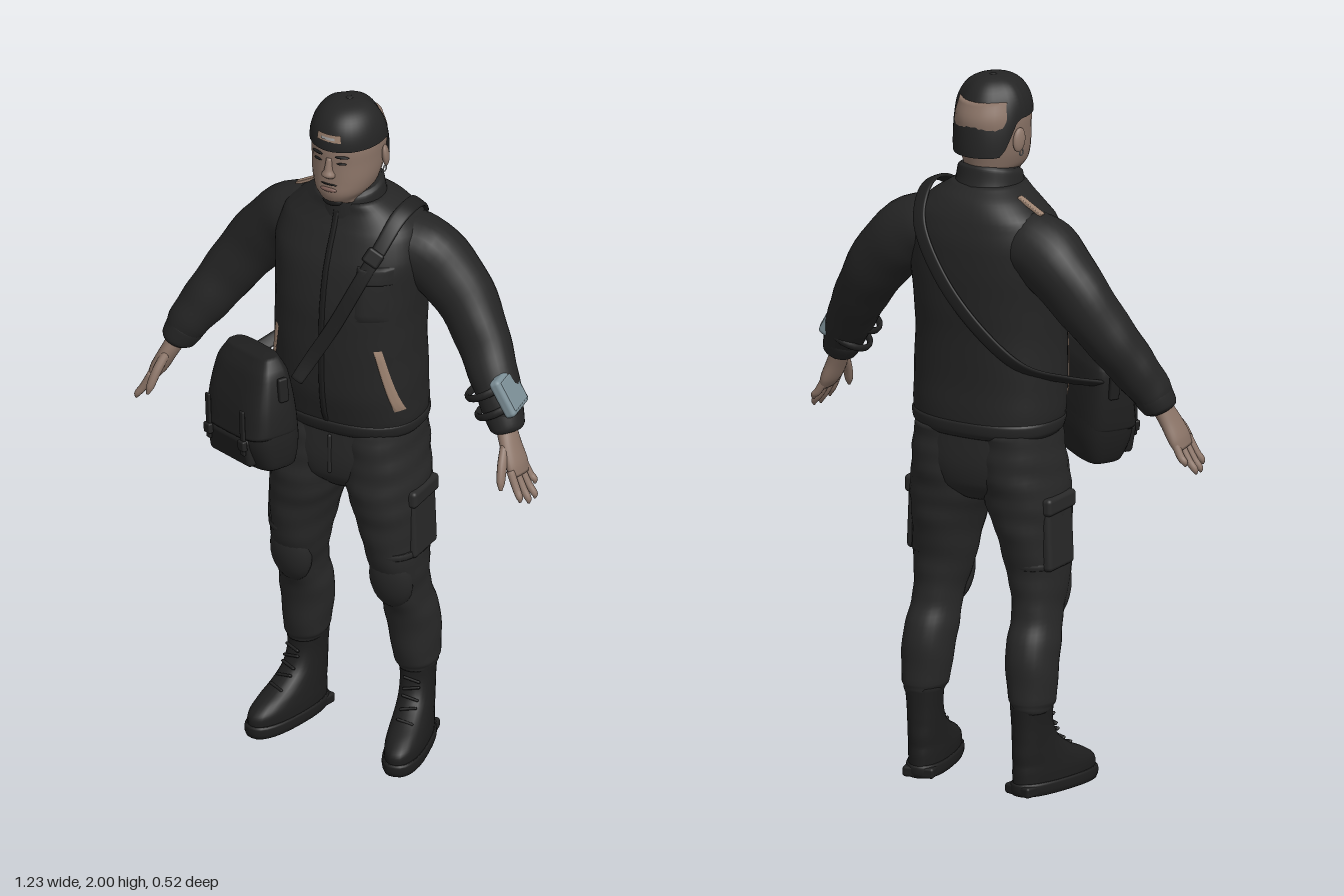
import * as THREE from 'three';
import { RoundedBoxGeometry } from 'three/addons/geometries/RoundedBoxGeometry.js';

const mat = (name, color) => Object.assign(new THREE.MeshStandardMaterial({ color }), { name });
const V = (x, y, z) => new THREE.Vector3(x, y, z);

// Smoothly resample rows of [x, y, z, radiusA, radiusB]
function resample(rows, steps) {
  const centre = new THREE.CatmullRomCurve3(rows.map(r => V(r[0], r[1], r[2])));
  const radii = new THREE.CatmullRomCurve3(rows.map((r, i) => V(r[3], r[4], i * 0.05)));
  const count = (rows.length - 1) * steps;
  return Array.from({ length: count + 1 }, (_, i) => {
    const t = i / count, r = radii.getPoint(t);
    return { p: centre.getPoint(t), t: centre.getTangent(t), a: r.x, b: r.y };
  });
}

// Closed skin over superellipse rings; flat keeps every ring level (rows then run upward)
function loft(rows, { n = 2, flat = false, side = null, wrinkle = 0, nu = 28, steps = 5 } = {}) {
  const rings = resample(rows, steps), pos = [], idx = [];
  const pw = v => Math.sign(v) * Math.abs(v) ** (2 / n);
  rings.forEach(({ p, t, a, b }, i) => {
    if (flat) t = V(0, 1, 0);
    const A = side ? side.clone() : t.clone().cross(V(0, 0, 1)).normalize();
    const B = A.clone().cross(t).normalize();
    for (let j = 0; j < nu; j++) {
      const f = j / nu * Math.PI * 2;
      const w = 1 + wrinkle * (Math.sin(i * 1.3 + 2 * Math.sin(f)) + Math.sin(i * 0.6 - 3 * f));
      const q = p.clone().addScaledVector(A, a * w * pw(Math.cos(f))).addScaledVector(B, b * w * pw(Math.sin(f)));
      pos.push(q.x, q.y, q.z);
    }
  });
  const last = rings.length - 1;
  pos.push(...rings[0].p.toArray(), ...rings[last].p.toArray());
  const c0 = rings.length * nu, c1 = c0 + 1;
  for (let j = 0; j < nu; j++) {
    const k = (j + 1) % nu;
    for (let i = 0; i < last; i++) {
      const o = i * nu, u = o + nu;
      idx.push(o + j, u + j, o + k, u + j, u + k, o + k);
    }
    idx.push(c0, j, k, c1, last * nu + k, last * nu + j);
  }
  return build(pos, idx);
}
function build(pos, idx) {
  const g = new THREE.BufferGeometry();
  g.setAttribute('position', new THREE.Float32BufferAttribute(pos, 3));
  g.setIndex(idx);
  g.computeVertexNormals();
  return g;
}

// Torso sections and the depth of its surface
const TORSO = [[0, 1.01, -.085, .2, .14], [0, 1.05, -.08, .213, .155], [0, 1.15, -.07, .213, .165],
  [0, 1.3, -.07, .208, .17], [0, 1.42, -.078, .212, .172], [0, 1.54, -.09, .22, .16],
  [0, 1.62, -.1, .2, .135], [0, 1.67, -.098, .145, .112], [0, 1.705, -.08, .095, .09]];
const DENSE = resample(TORSO, 5);
function bodyZ(x, y, s = 1) {
  let i = DENSE.findIndex(r => r.p.y >= y);
  i = i < 1 ? (i < 0 ? DENSE.length - 1 : 1) : i;
  const lo = DENSE[i - 1], hi = DENSE[i];
  const k = THREE.MathUtils.clamp((y - lo.p.y) / (hi.p.y - lo.p.y), 0, 1);
  const mix = (u, v) => u + (v - u) * k;
  const q = Math.min(Math.abs(x) / mix(lo.a, hi.a), .985);
  return mix(lo.p.z, hi.p.z) + s * mix(lo.b, hi.b) * (1 - q ** 2.4) ** (1 / 2.4);
}
// Thin panel on the jacket front, between a lower and an upper edge
function panel(xl, xr, y0, y1, lean = 0, off = .007) {
  const pos = [], idx = [], N = 12, M = 6;
  for (let i = 0; i <= N; i++) for (let j = 0; j <= M; j++) {
    const y = y0 + (y1 - y0) * i / N, x = xl + (xr - xl) * j / M + lean * i / N;
    const edge = i === 0 || i === N || j === 0 || j === M;
    pos.push(x, y, bodyZ(x, y) + (edge ? .001 : off));
  }
  for (let i = 0; i < N; i++) for (let j = 0; j < M; j++) {
    const a = i * (M + 1) + j, b = a + M + 1;
    idx.push(a, a + 1, b, a + 1, b + 1, b);
  }
  return build(pos, idx);
}

export function createModel() {
  const root = new THREE.Group();
  const cloth = mat('jacketBlack', 0x252525), trouser = mat('trouserBlack', 0x282828);
  const bagM = mat('bagBlack', 0x202020), bootM = mat('bootBlack', 0x1e1e1e);
  const skin = mat('skin', 0x8c7568), tan = mat('tanTrim', 0x9c8270);
  const hair = mat('hairBlack', 0x1a1a1a), device = mat('deviceGrey', 0x7d9098);
  const metal = mat('paleMetal', 0xa0a0a0), lip = mat('lips', 0x7a5c54);
  const add = (name, geo, m, p = [0, 0, 0], r = [0, 0, 0], s = [1, 1, 1], parent = root) => {
    const mesh = new THREE.Mesh(geo, m);
    mesh.name = name;
    mesh.position.set(...p); mesh.rotation.set(...r); mesh.scale.set(...s);
    parent.add(mesh);
    return mesh;
  };
  const box = (x, y, z, r = .008) => new RoundedBoxGeometry(x, y, z, 3, Math.min(r, x / 2.1, y / 2.1, z / 2.1));
  const ball = new THREE.SphereGeometry(1, 20, 14);

  // Jacket
  add('jacketBody', loft(TORSO, { n: 2.4, flat: true, wrinkle: .003, nu: 48 }), cloth);
  add('jacketHem', loft([[0, 1.005, -.083, .2, .142], [0, 1.02, -.082, .212, .153], [0, 1.045, -.08, .216, .158], [0, 1.055, -.08, .21, .152]],
    { n: 2.4, flat: true, nu: 48 }), cloth);
  add('collar', loft([[0, 1.665, -.08, .1, .1], [0, 1.7, -.075, .095, .092], [0, 1.735, -.074, .09, .085], [0, 1.745, -.076, .08, .075]],
    { flat: true }).applyMatrix4(new THREE.Matrix4().set(1, 0, 0, 0, 0, 1, -.2, -.016, 0, 0, 1, 0, 0, 0, 0, 1)), cloth);
  add('frontZip', panel(-.008, .008, 1.03, 1.69, 0, .008), hair);
  add('chestPocket', panel(.095, .175, 1.39, 1.53), cloth);
  add('chestPocketFlap', panel(.09, .18, 1.5, 1.55, 0, .013), cloth);
  add('leftPocketZip', panel(.185, .204, 1.1, 1.3, -.042, .006), tan);
  add('rightPocketZip', panel(-.204, -.185, 1.1, 1.3, .032, .006), tan);
  add('shoulderTab', box(.085, .009, .02, .002), tan, [-.16, 1.662, -.125], [0, 0, .5]);
  add('sleevePatch', box(.006, .035, .05, .002), metal, [-.335, 1.51, -.11], [0, 0, -.65]);

  // Head
  add('head', loft([[0, 1.64, -.075, .07, .07], [0, 1.7, -.07, .07, .075], [0, 1.72, -.05, .055, .095], [0, 1.75, -.045, .076, .106],
    [0, 1.79, -.05, .089, .11], [0, 1.84, -.057, .094, .115], [0, 1.89, -.06, .096, .117], [0, 1.94, -.06, .085, .1]], { n: 2.15, flat: true }), skin);
  add('nose', loft([[0, 1.805, .055, .016, .012], [0, 1.815, .06, .02, .018], [0, 1.83, .06, .012, .013], [0, 1.865, .055, .008, .008]],
    { flat: true, nu: 16 }), skin);
  add('mouth', ball, lip, [0, 1.768, .059], [0, 0, 0], [.025, .007, .008]);
  add('goatee', ball, hair, [0, 1.722, .036], [.5, 0, 0], [.03, .014, .016]);
  add('moustache', ball, hair, [0, 1.784, .057], [0, 0, 0], [.025, .003, .006]);
  for (const s of [1, -1]) {
    add('eye', ball, hair, [s * .036, 1.852, .051], [0, s * .35, 0], [.014, .003, .005]);
    add('eyebrow', ball, hair, [s * .038, 1.873, .052], [0, s * .35, 0], [.02, .004, .005]);
    add('ear', ball, skin, [s * .098, 1.83, -.085], [.2, s * .35, 0], [.01, .034, .02]);
    add('earring', new THREE.TorusGeometry(.009, .002, 6, 14), metal, [s * .1, 1.793, -.077], [0, Math.PI / 2, 0]);
  }

  // Backward cap, deeper behind the ears
  const cap = new THREE.SphereGeometry(1, 40, 16, 0, Math.PI * 2, 0, Math.PI / 2), cp = cap.attributes.position;
  for (let i = 0; i < cp.count; i++) {
    const x = cp.getX(i), y = cp.getY(i), z = cp.getZ(i), r = Math.hypot(x, z);
    const back = r > 0 ? THREE.MathUtils.smoothstep(-z / r, .2, .75) : 0;
    const low = 1.89 - .1 * back, k = r > 0 ? r ** -.28 : 1;
    cp.setXYZ(i, x * k * .104, low + (1.997 - low) * y, -.06 + z * k * .125);
  }
  cap.computeVertexNormals();
  cap.deleteAttribute('uv');
  const capM = mat('capBlack', 0x242424);
  capM.side = THREE.DoubleSide;
  add('cap', cap, capM);
  add('capButton', ball, capM, [0, 1.996, -.06], [0, 0, 0], [.01, .004, .01]);
  add('capOpening', new THREE.CylinderGeometry(.97, 1.0, .022, 16, 1, true, -.36, .72), tan, [0, 1.93, -.06], [0, 0, 0], [.104, 1, .125]);
  add('capStrap', new THREE.CylinderGeometry(.99, 1.0, .007, 16, 1, true, -.2, .4), metal, [0, 1.93, -.06], [0, 0, 0], [.104, 1, .127]);

  for (const s of [1, -1]) {
    const sx = rows => rows.map(([x, ...rest]) => [x * s, ...rest]);
    const side = s > 0 ? 'left' : 'right';
    // Sleeve, cuff and hand
    add(side + 'Sleeve', loft(sx([[.13, 1.56, -.11, .09, .1], [.205, 1.535, -.125, .1, .098], [.3, 1.45, -.13, .09, .085],
      [.385, 1.335, -.105, .077, .074], [.445, 1.24, -.065, .068, .066], [.49, 1.165, -.035, .056, .058], [.512, 1.12, -.022, .042, .045]]),
    { wrinkle: .014 }), cloth);
    add(side + 'Cuff', loft(sx([[.487, 1.168, -.036, .05, .052], [.493, 1.155, -.033, .054, .056], [.51, 1.122, -.022, .047, .05], [.514, 1.112, -.02, .036, .04]])), cloth);
    const hand = new THREE.Group();
    hand.name = side + 'Hand';
    root.add(hand);
    add('palm', loft(sx([[.505, 1.13, -.02, .026, .032], [.53, 1.08, -.004, .024, .04], [.552, 1.035, .004, .022, .046], [.566, 1.005, .008, .014, .042]])), skin, undefined, undefined, undefined, hand);
    [[-.029, .965, .59], [-.006, .938, .606], [.018, .936, .603], [.041, .95, .592]].forEach(([z, y, x]) =>
      add('finger', loft(sx([[.555, 1.03, z + .004, .011, .012], [(x + .568) / 2, (y + 1.01) / 2, z * 1.15 + .006, .0105, .0115],
        [x, y + .012, z * 1.25 + .008, .009, .0095], [x + .002, y, z * 1.25 + .01, .003, .003]]), { nu: 12 }), skin, undefined, undefined, undefined, hand));
    add('thumb', loft(sx([[.525, 1.085, .02, .013, .016], [.535, 1.045, .055, .013, .015], [.543, 1.005, .077, .011, .012], [.547, .985, .085, .004, .004]]), { nu: 12 }), skin, undefined, undefined, undefined, hand);

    // Trouser leg, knee pad and cargo pocket
    add(side + 'TrouserLeg', loft(sx([[.172, .235, -.135, .048, .062], [.17, .265, -.132, .06, .072], [.163, .4, -.12, .07, .082], [.158, .5, -.085, .063, .084],
      [.15, .6, -.065, .076, .103], [.135, .72, -.067, .089, .125], [.118, .82, -.07, .107, .138], [.107, .92, -.078, .106, .142], [.1, 1.02, -.082, .1, .138]]),
    { n: 2.2, flat: true, wrinkle: .011, steps: 7 }), trouser);
    add(side + 'KneePad', ball, trouser, [s * .155, .555, -.012], [.22, s * .1, 0], [.062, .1, .043]);
    add(side + 'KneeSeam', loft(sx([[.15, .635, -.064, .08, .107], [.149, .645, -.064, .082, .11], [.148, .655, -.064, .08, .109]]), { n: 2.2, flat: true }), trouser);
    add(side + 'CargoPocket', box(.035, .2, .13, .014), trouser, [s * .211, .73, -.075], [0, 0, s * .04]);
    add(side + 'CargoFlap', box(.042, .05, .14, .012), trouser, [s * .213, .815, -.075]);

    // Boot, toes turned out
    const boot = new THREE.Group();
    boot.name = side + 'Boot';
    boot.position.set(s * .172, 0, -.13);
    boot.rotation.y = s * .22;
    root.add(boot);
    const inBoot = (name, geo, p, r, sc) => add(name, geo, bootM, p, r, sc, boot);
    inBoot('bootSole', loft([[0, 0, .08, .054, .148], [0, .012, .08, .058, .153], [0, .03, .08, .058, .153], [0, .036, .08, .054, .148]], { n: 2.5, flat: true }));
    inBoot('bootUpper', loft([[0, .025, .079, .053, .148], [0, .06, .077, .054, .147], [0, .085, .062, .052, .13], [0, .115, .03, .049, .1],
      [0, .15, .006, .047, .074], [0, .2, -.006, .047, .062], [0, .255, -.008, .052, .062]], { n: 2.3, flat: true }));
    inBoot('bootHeel', box(.09, .03, .08), [0, .016, -.03]);
    for (let i = 0; i < 5; i++) inBoot('lace', box(.05, .008, .012, .004), [0, .115 + i * .024, [.124, .093, .075, .063, .058][i]], [-.6, 0, i % 2 ? .2 : -.2]);
  }
  add('trouserSeat', loft([[0, .815, -.078, .06, .09], [0, .86, -.078, .16, .132], [0, .93, -.08, .202, .143], [0, 1.04, -.082, .2, .14]], { n: 2.4, flat: true, nu: 40 }), trouser);
  add('fly', box(.012, .12, .012), trouser, [.004, .94, .061]);

  // Wrist device on the left forearm
  const dev = new THREE.Group();
  dev.name = 'wristDevice';
  dev.position.set(.507, 1.225, -.035);
  dev.rotation.set(0, .12, .5);
  root.add(dev);
  add('deviceCase', box(.034, .115, .11, .012), device, undefined, undefined, undefined, dev);
  add('deviceScreen', box(.006, .09, .085, .003), device, [.017, 0, 0], undefined, undefined, dev);
  for (const y of [-.03, .03]) add('deviceStrap', new THREE.TorusGeometry(.063, .007, 8, 28), bagM, [-.055, y, -.005], [Math.PI / 2, 0, 0], [1, 1, 1.6], dev);

  // Shoulder strap across chest and back
  const on = (x, y, s) => [x, y, bodyZ(x, y, s) + s * .008, .02, .006];
  add('bagStrap', loft([[-.05, 1.2, .15, .018, .006], [-.02, 1.26, .125, .02, .006], on(.04, 1.37, 1), on(.1, 1.5, 1), on(.14, 1.6, 1), [.16, 1.668, -.04, .022, .006],
    [.166, 1.682, -.1, .022, .006], [.158, 1.662, -.165, .022, .006], on(.13, 1.59, -1), on(.04, 1.45, -1), on(-.08, 1.31, -1), on(-.17, 1.22, -1),
    [-.235, 1.17, -.08, .02, .006], [-.29, 1.14, .02, .018, .006]], { side: V(.9, -.43, 0).normalize(), n: 3, nu: 16, steps: 8 }), bagM);
  add('strapBuckle', box(.05, .045, .016), bagM, [.13, 1.58, bodyZ(.13, 1.58) + .012], [-.4, .3, -.4]);

  // Messenger bag on the right hip
  const bag = new THREE.Group();
  bag.name = 'bag';
  bag.position.set(-.2, 1.07, .115);
  bag.rotation.set(0, -.49, .14, 'YXZ');
  root.add(bag);
  const inBag = (name, geo, p, r) => add(name, geo, bagM, p, r, undefined, bag);
  inBag('bagBody', loft([[0, -.165, 0, .1, .04], [0, -.15, 0, .125, .062], [0, -.07, .005, .14, .082], [0, .03, 0, .136, .072],
    [0, .12, -.01, .122, .05], [0, .155, -.015, .1, .03]], { n: 3.6, flat: true, nu: 40 }));
  inBag('bagFlap', loft([[0, -.055, .012, .138, .084], [0, -.045, .01, .143, .086], [0, .03, .004, .14, .077], [0, .12, -.006, .126, .055], [0, .163, -.012, .1, .03]],
    { n: 3.6, flat: true, nu: 40 }));
  inBag('bagFrontPocket', box(.2, .085, .035, .014), [-.01, -.1, .073], [.1, 0, 0]);
  for (const x of [-.085, .085]) {
    inBag('closureStrap', box(.02, .13, .009, .004), [x, -.035, .096], [-.05, 0, 0]);
    inBag('closureBuckle', box(.03, .03, .016, .005), [x, -.07, .1]);
  }
  for (const x of [-.14, .14]) inBag('sideLoop', box(.016, .07, .03, .006), [x, .08, -.01]);
  return root;
}
